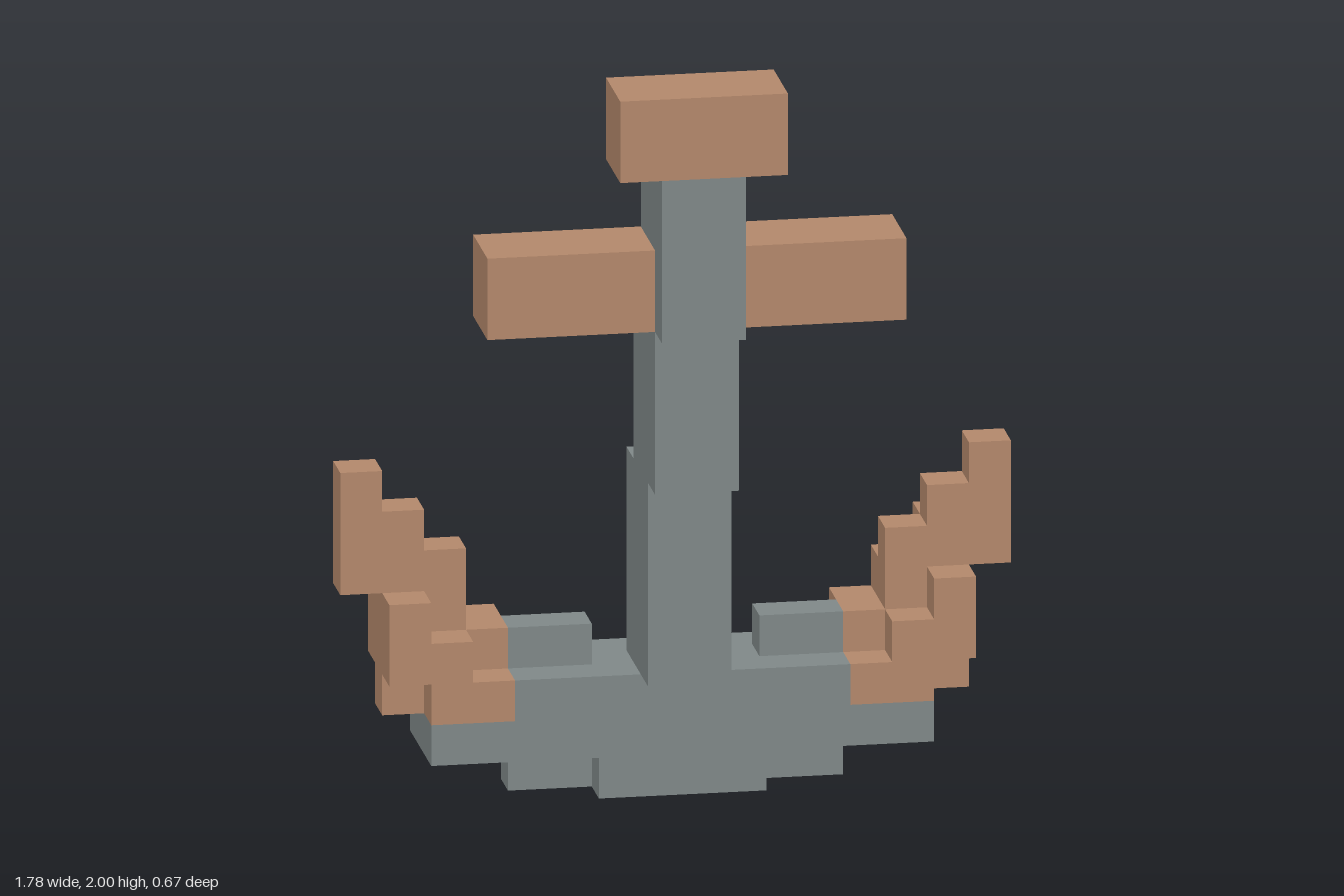
import * as THREE from 'three';

const UNIT = 1 / 9; // one block; the model is 18 blocks tall

export function createModel() {
  const model = new THREE.Group();
  model.name = 'anchor';

  const iron = new THREE.MeshStandardMaterial({ color: 0x7f8888 });
  iron.name = 'grey iron';
  const copper = new THREE.MeshStandardMaterial({ color: 0xb3886b });
  copper.name = 'copper brown';

  // Box given by its extents in blocks
  function block(parent, name, material, [x0, x1], [y0, y1], [z0, z1]) {
    const geometry = new THREE.BoxGeometry((x1 - x0) * UNIT, (y1 - y0) * UNIT, (z1 - z0) * UNIT);
    const mesh = new THREE.Mesh(geometry, material);
    mesh.position.set((x0 + x1) / 2, (y0 + y1) / 2, (z0 + z1) / 2).multiplyScalar(UNIT);
    mesh.name = name;
    parent.add(mesh);
  }

  // Shaft leaning forward in three steps
  const shaft = new THREE.Group();
  shaft.name = 'shaft';
  model.add(shaft);
  block(shaft, 'lowerShaft', iron, [-1, 1], [3, 8], [-2, 1]);
  block(shaft, 'middleShaft', iron, [-1, 1], [8, 12], [-1, 2]);
  block(shaft, 'middleShaftBackTop', iron, [-1, 1], [12, 13], [-1, 0]);
  block(shaft, 'upperShaftFront', iron, [-1, 1], [12, 14], [2, 3]);
  block(shaft, 'upperShaft', iron, [-1, 1], [14, 16], [0, 3]);
  block(shaft, 'upperShaftBackTop', iron, [-1, 1], [16, 17], [0, 1]);

  // Crossbar and top cap
  block(model, 'crossbar', copper, [-5, 5], [12, 14], [0, 2]);
  block(model, 'topCap', copper, [-2, 2], [16, 18], [1, 3]);

  // Base beam
  const base = new THREE.Group();
  base.name = 'base';
  model.add(base);
  block(base, 'keel', iron, [-2, 2], [0, 1], [-3, 0]);
  block(base, 'beamBottom', iron, [-6, 6], [1, 2], [-3, 0]);
  block(base, 'beamTop', iron, [-4, 4], [2, 3], [-3, 0]);

  // Stepped fluke columns: [name, x, y range, z range]
  const columns = [
    ['flukeRoot', [4, 6], [2, 3], [-3, 0]],
    ['frontStep', [5, 6], [3, 4], [-1, 0]],
    ['frontStep', [6, 7], [3, 5], [-1, 0]],
    ['middleStep', [4, 5], [3, 4], [-2, -1]],
    ['middleStep', [5, 6], [3, 6], [-2, -1]],
    ['middleStep', [6, 7], [2, 7], [-2, -1]],
    ['flukeTip', [7, 8], [5, 8], [-2, -1]],
    ['backStep', [4, 5], [3, 4], [-3, -2]],
    ['backStep', [5, 6], [3, 5], [-3, -2]],
    ['backStep', [6, 7], [3, 6], [-3, -2]],
  ];
  for (const side of [1, -1]) {
    const mirror = ([a, b]) => (side > 0 ? [a, b] : [-b, -a]);
    const fluke = new THREE.Group();
    fluke.name = side > 0 ? 'leftFluke' : 'rightFluke';
    model.add(fluke);
    for (const [name, x, y, z] of columns) block(fluke, name, copper, mirror(x), y, z);
    // Grey ridge above and rib below the beam
    block(base, 'ridge', iron, mirror([2, 4]), [3, 4], [-2, -1]);
    block(base, 'keelRib', iron, mirror([2, 4]), [0, 1], [-2, -1]);
  }

  return model;
}
